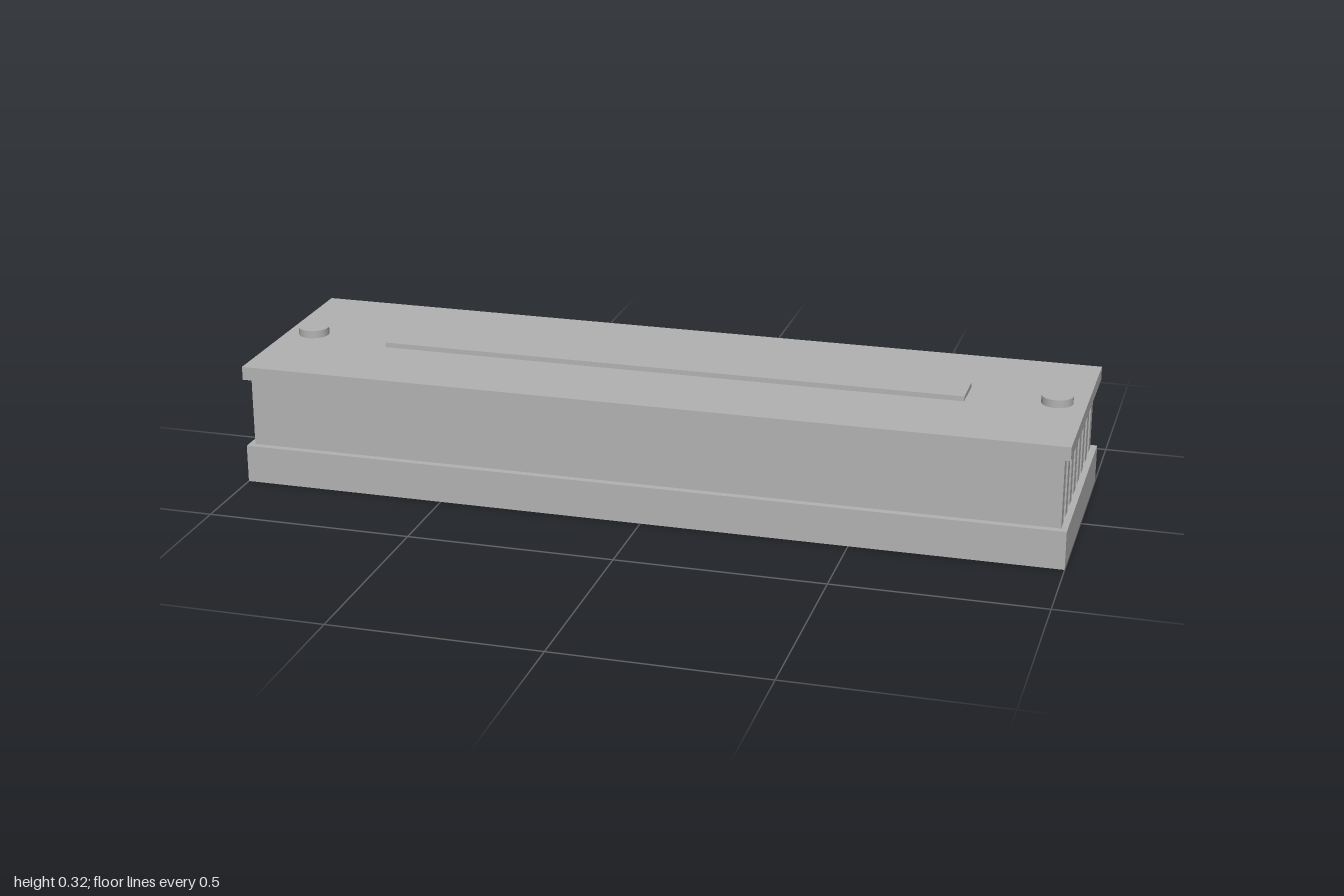
import * as THREE from 'three';

export function createModel() {
  const group = new THREE.Group();
  const grey = new THREE.MeshStandardMaterial({ color: 0xb2b2b2 });
  grey.name = 'grey metal';

  function add(name, geometry, x, y, z) {
    const mesh = new THREE.Mesh(geometry, grey);
    mesh.name = name;
    mesh.position.set(x, y, z);
    group.add(mesh);
  }

  // box spanning y0..y1, centred on x = 0
  function slab(name, width, depth, y0, y1, z = 0) {
    add(name, new THREE.BoxGeometry(width, y1 - y0, depth), 0, (y0 + y1) / 2, z);
  }

  const baseTop = 0.093, lidBottom = 0.264, lidTop = 0.297;

  // solid base and thin lid
  slab('base', 2, 0.56, 0, baseTop);
  slab('lid', 2, 0.56, lidBottom, lidTop);

  // long parallel fins, open at both ends
  const finCount = 8;
  for (let i = 0; i < finCount; i++) {
    slab('fin', 1.97, 0.035, baseTop, lidBottom, (i - (finCount - 1) / 2) * 0.07);
  }

  // raised strip along the lid
  slab('topStrip', 1.44, 0.1, lidTop, 0.309);

  // round studs at both ends
  for (const side of [-1, 1]) {
    const height = 0.019;
    add('stud', new THREE.CylinderGeometry(0.0375, 0.0375, height, 32),
      side * 0.93, lidTop + height / 2, 0);
  }

  return group;
}
